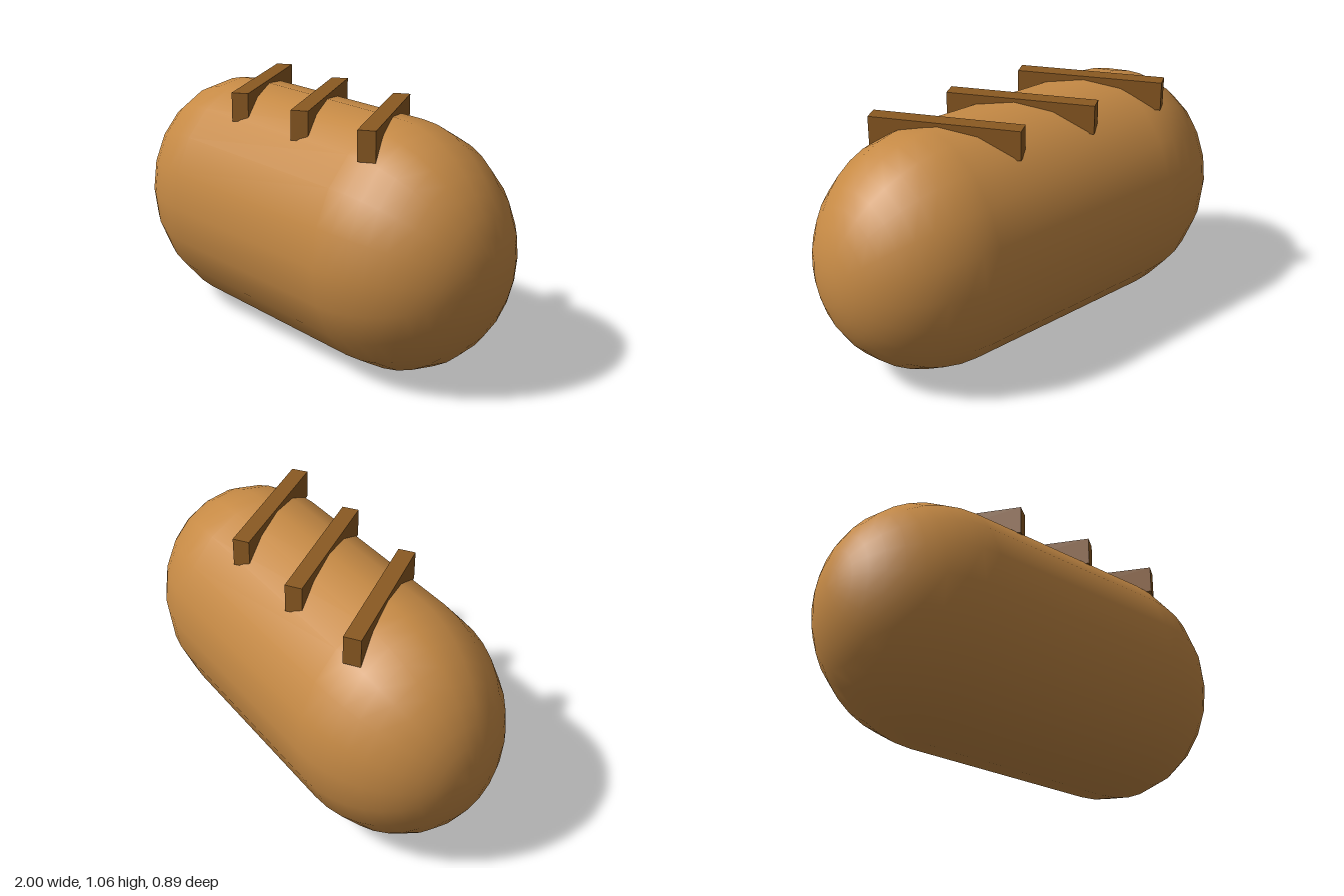
import * as THREE from 'three';

export function createModel() {
  const group = new THREE.Group();
  const crust = new THREE.MeshStandardMaterial({ color: 0xc68a45 });
  crust.name = 'golden crust';
  const scoreBrown = new THREE.MeshStandardMaterial({ color: 0x8b5a22 });
  scoreBrown.name = 'dark score brown';

  // Loaf: a capsule lying along x, narrowed front to back
  const radius = 0.523;
  const loafGeometry = new THREE.CapsuleGeometry(radius, 0.952, 10, 20);
  loafGeometry.rotateZ(Math.PI / 2);
  loafGeometry.scale(1, 1, 0.85);
  const loaf = new THREE.Mesh(loafGeometry, crust);
  loaf.name = 'loaf';
  loaf.position.y = 0.526;
  group.add(loaf);

  // Three slanted score bars across the top
  const scoreGeometry = new THREE.BoxGeometry(0.073, 0.125, 0.635);
  [-0.4, 0, 0.4].forEach((x, i) => {
    const score = new THREE.Mesh(scoreGeometry, scoreBrown);
    score.name = `score${i + 1}`;
    score.position.set(x, 1.0025, 0);
    score.rotation.y = 0.6;
    group.add(score);
  });

  return group;
}
